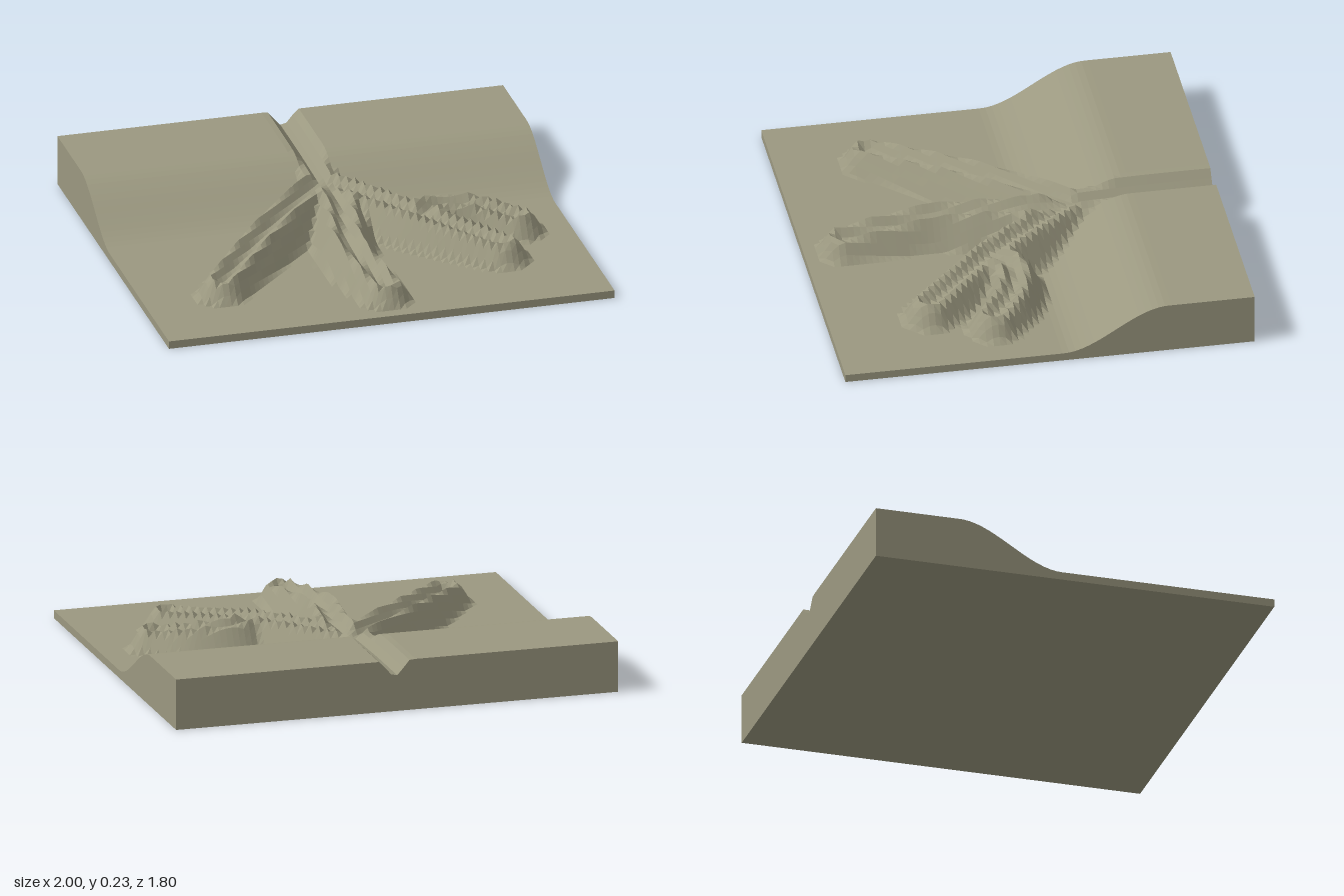
import * as THREE from 'three';

const { smoothstep } = THREE.MathUtils;
const WIDTH = 2, DEPTH = 1.8;

// Channel centre lines: [x, floor height, z]
const channels = [
  // feeder channel cut through the shelf
  [[0.01, 0.16, -1], [0.01, 0.16, -0.6], [0.01, 0.152, -0.28]],
  // right-hand arm as seen from the front of the fan
  [[0.01, 0.152, -0.28], [-0.32, 0.13, 0.09], [-0.65, 0.085, 0.5]],
  // winding middle arm
  [[0.01, 0.152, -0.28], [0.03, 0.15, -0.1], [0, 0.14, 0.12], [-0.03, 0.122, 0.32], [-0.01, 0.105, 0.53], [0.02, 0.083, 0.73]],
  // left arm
  [[0.01, 0.152, -0.28], [0.16, 0.148, -0.08], [0.33, 0.137, 0.14], [0.62, 0.095, 0.46]],
  // curved side branch
  [[0.33, 0.137, 0.14], [0.44, 0.134, 0.07], [0.6, 0.12, 0.09], [0.76, 0.09, 0.2]],
].map((pts) => new THREE.CatmullRomCurve3(pts.map((p) => new THREE.Vector3(...p))).getSpacedPoints(80));

// Distance to the nearest channel centre and the floor height there
function nearestChannel(x, z) {
  let distance = Infinity, floor = 0;
  for (const line of channels) {
    for (const p of line) {
      const d = Math.hypot(p.x - x, p.z - z);
      if (d < distance) { distance = d; floor = p.y; }
    }
  }
  return { distance, floor };
}

// Ground: low plain in front, smooth rise to the shelf at the back,
// raised banks beside each channel and a groove along its middle
function heightAt(x, z) {
  const base = 0.035 + 0.192 * smoothstep(-z, 0.06, 0.52);
  const { distance, floor } = nearestChannel(x, z);
  const bank = floor + 0.05 - (distance - 0.055) / 0.6;
  const groove = floor + Math.max(0, distance - 0.012) * 1.2;
  return Math.min(groove, Math.max(base, bank));
}

export function createModel() {
  const group = new THREE.Group();
  group.name = 'channelFanTerrain';

  // Solid block whose top vertices follow the ground height
  const geometry = new THREE.BoxGeometry(WIDTH, 1, DEPTH, 72, 1, 64);
  const pos = geometry.attributes.position;
  for (let i = 0; i < pos.count; i++) {
    const top = pos.getY(i) > 0;
    pos.setY(i, top ? heightAt(pos.getX(i), pos.getZ(i)) : 0);
  }
  geometry.computeVertexNormals();

  const terrain = new THREE.Mesh(
    geometry,
    new THREE.MeshStandardMaterial({ color: 0x9b9880, flatShading: true }),
  );
  terrain.name = 'terrainBlock';
  group.add(terrain);
  return group;
}
